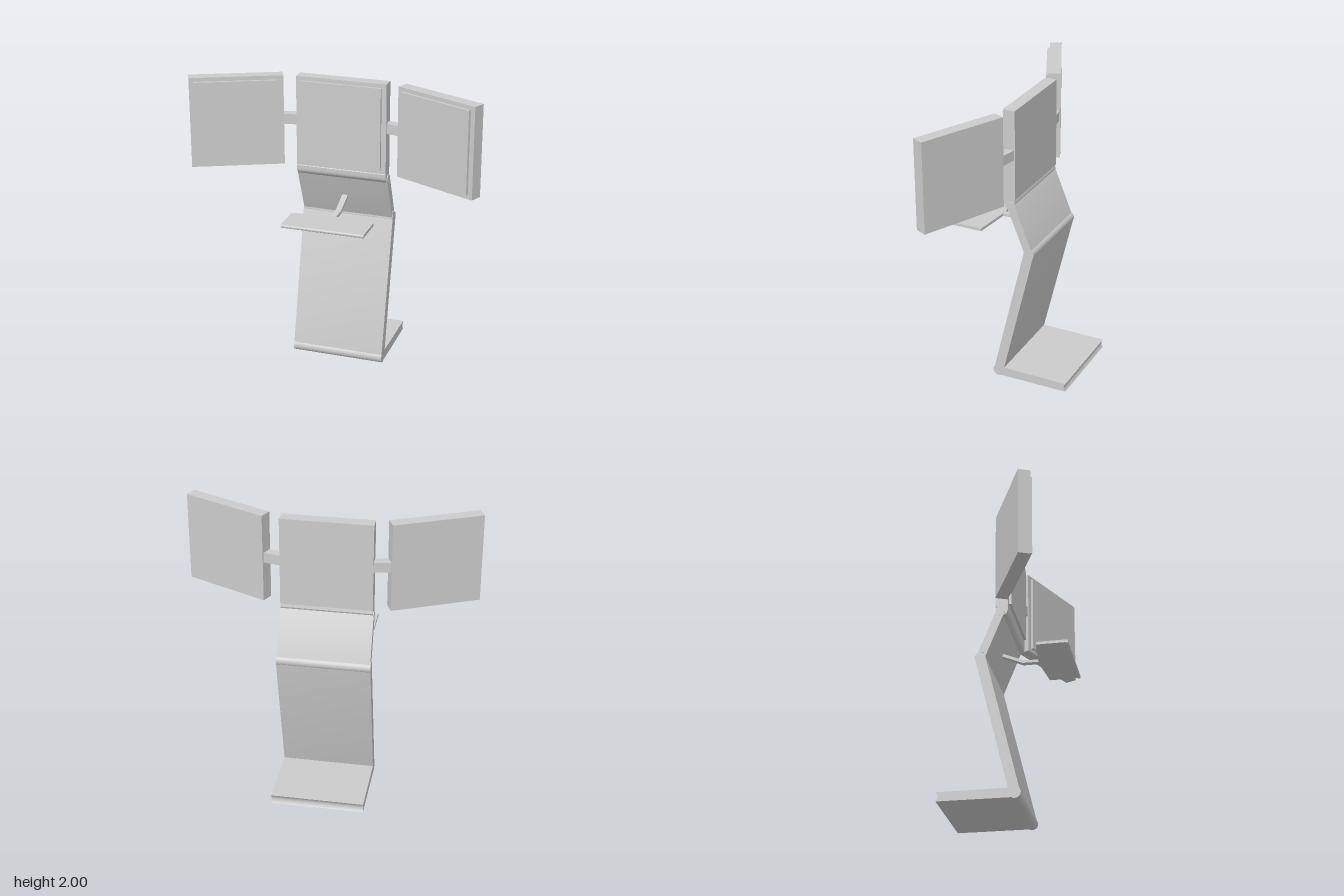
import * as THREE from 'three';
import { toCreasedNormals } from 'three/addons/utils/BufferGeometryUtils.js';

const mat = new THREE.MeshStandardMaterial({ color: 0xcccccc });

function add(parent, name, geometry, x = 0, y = 0, z = 0) {
  const mesh = new THREE.Mesh(geometry, mat);
  mesh.name = name;
  mesh.position.set(x, y, z);
  parent.add(mesh);
  return mesh;
}

// Side profile drawn in (z, y), extruded across x and centred
function acrossX(shape, width) {
  const g = new THREE.ExtrudeGeometry(shape, { depth: width, bevelEnabled: false, curveSegments: 12 });
  g.translate(0, 0, -width / 2);
  g.rotateY(-Math.PI / 2);
  return toCreasedNormals(g, 0.6);
}

// Slab profile with rounded ends, from a to b
function capsule(a, b, r) {
  const t = Math.atan2(b[1] - a[1], b[0] - a[0]);
  const q = Math.PI / 2;
  return new THREE.Shape()
    .absarc(b[0], b[1], r, t - q, t + q)
    .absarc(a[0], a[1], r, t + q, t + 3 * q);
}

function polygon(points) {
  return new THREE.Shape(points.map(([x, y]) => new THREE.Vector2(x, y)));
}

function monitor(name, x, y, z, angle) {
  const g = new THREE.Group();
  g.name = name;
  add(g, 'housing', new THREE.BoxGeometry(0.624, 0.62, 0.084));
  add(g, 'screen', new THREE.BoxGeometry(0.556, 0.566, 0.02), 0, 0, 0.05);
  g.position.set(x, y, z);
  g.rotation.y = angle;
  return g;
}

export function createModel() {
  const model = new THREE.Group();
  model.name = 'monitorStand';

  // Base plate with a hollowed rear edge
  const base = new THREE.Shape();
  base.moveTo(-0.433, 0.01);
  base.lineTo(0.08, 0.006);
  base.lineTo(0.08, 0.072);
  base.lineTo(-0.433, 0.072);
  base.quadraticCurveTo(-0.408, 0.041, -0.433, 0.01);
  add(model, 'base', acrossX(base, 0.644));

  // Leaning column, upper panel and the hinges between them
  const foot = [0.08, 0.04], knee = [-0.152, 1.003], neck = [-0.02, 1.33];
  add(model, 'column', acrossX(capsule(foot, knee, 0.035), 0.644));
  add(model, 'upperPanel', acrossX(capsule(knee, neck, 0.029), 0.636));
  for (const [name, p, r, w] of [['footHinge', foot, 0.04, 0.644], ['kneeHinge', knee, 0.037, 0.644]]) {
    add(model, name, new THREE.CylinderGeometry(r, r, w, 32), 0, p[1], p[0]).rotation.z = Math.PI / 2;
  }
  const neckShape = new THREE.Shape();
  neckShape.moveTo(-0.042, 1.385);
  neckShape.lineTo(-0.05, 1.355);
  neckShape.lineTo(-0.032, 1.308);
  neckShape.lineTo(0.004, 1.31);
  neckShape.quadraticCurveTo(0.034, 1.325, 0.034, 1.355);
  neckShape.lineTo(0.034, 1.375);
  neckShape.lineTo(0.025, 1.385);
  add(model, 'neckHinge', acrossX(neckShape, 0.624));
  for (const [z, y, w] of [[-0.03, 1.315, 0.638], [-0.135, 1.045, 0.646]]) {
    add(model, 'hingePin', new THREE.CylinderGeometry(0.01, 0.01, w, 16), 0, y, z).rotation.z = Math.PI / 2;
  }

  // Three monitors, the outer pair turned inward, joined by short arms
  model.add(monitor('centreMonitor', 0, 1.69, -0.009, 0));
  for (const [side, s] of [['left', 1], ['right', -1]]) {
    model.add(monitor(side + 'Monitor', s * 0.696, 1.69, 0.139, s * -0.428));
    add(model, side + 'Arm', new THREE.BoxGeometry(0.18, 0.07, 0.066), s * 0.36, 1.695, 0).rotation.y = s * -0.21;
  }

  // Keyboard tray with an angled rear edge and a rounded front lip
  const tray = new THREE.ExtrudeGeometry(
    polygon([[-0.287, -0.425], [0.287, -0.425], [0.287, -0.218], [0.02, -0.19], [-0.02, -0.19], [-0.287, -0.218]]),
    { depth: 0.02, bevelEnabled: false });
  tray.rotateX(-Math.PI / 2);
  add(model, 'tray', tray, 0, 1.08, 0);
  add(model, 'trayLip', acrossX(capsule([0.424, 1.087], [0.424, 1.089], 0.011), 0.574));

  // Bent stem carrying the tray
  const stem = polygon([[0.24, 1.082], [0.24, 1.098], [0.088, 1.103], [-0.075, 1.172], [-0.075, 1.15], [0.08, 1.083]]);
  add(model, 'trayStem', acrossX(stem, 0.04));

  return model;
}
